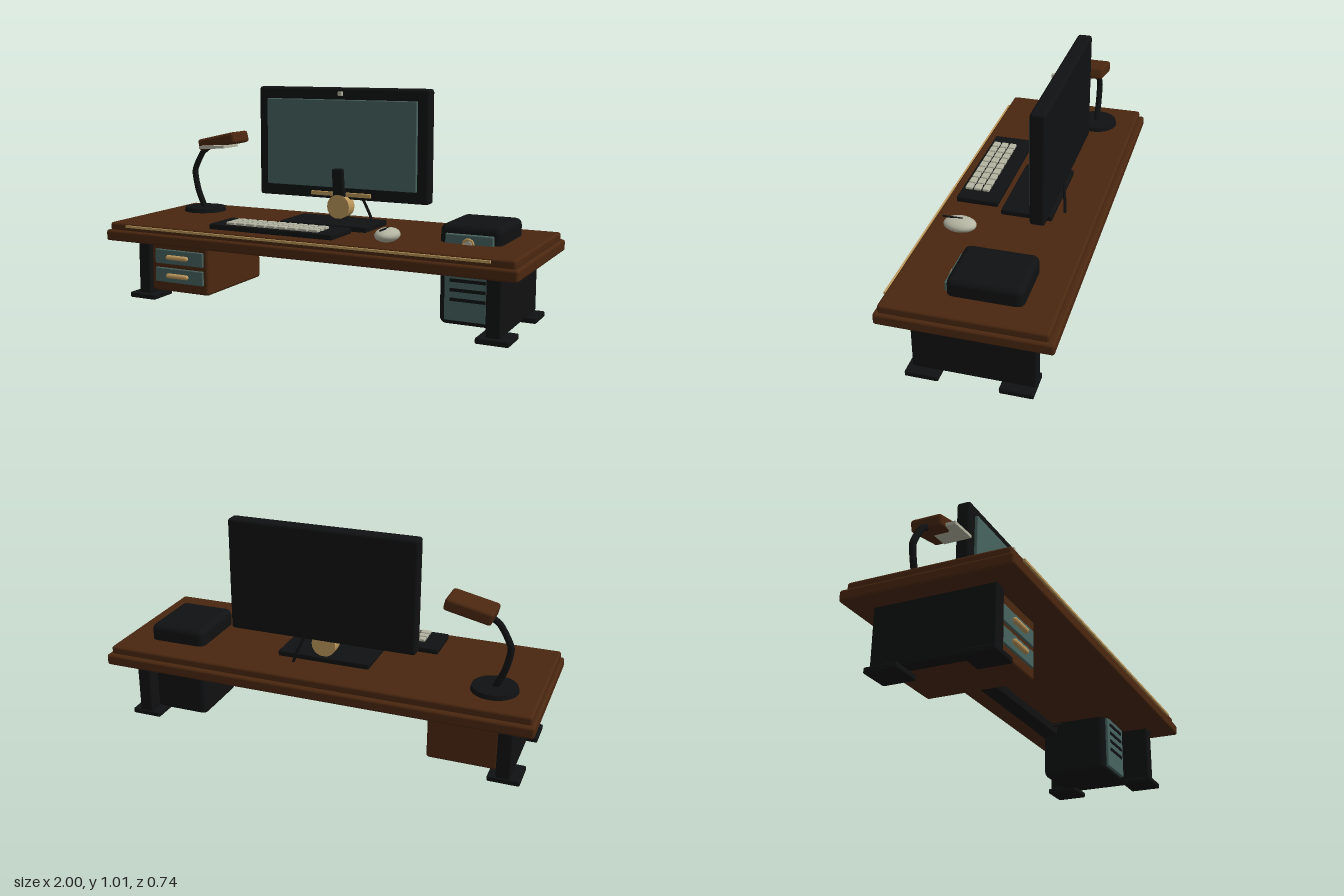
import * as THREE from 'three';
import { RoundedBoxGeometry } from 'three/addons/geometries/RoundedBoxGeometry.js';

export function createModel() {
  const root = new THREE.Group();
  root.name = 'deskWorkstation';

  const mat = (name, color) => {
    const m = new THREE.MeshStandardMaterial({ color });
    m.name = name;
    return m;
  };
  const wood = mat('walnut', 0x4a2710);
  const black = mat('black', 0x101112);
  const teal = mat('teal', 0x48645f);
  const gold = mat('brass', 0xbd985c);
  const pale = mat('paleGrey', 0xb4b4a2);

  const add = (name, geometry, material, x = 0, y = 0, z = 0, parent = root) => {
    const m = new THREE.Mesh(geometry, material);
    m.name = name;
    m.position.set(x, y, z);
    parent.add(m);
    return m;
  };
  // Rounded box given by its min and max on each axis
  const block = (name, material, [x0, x1], [y0, y1], [z0, z1], r = 0.01, parent = root) => {
    const w = x1 - x0, h = y1 - y0, d = z1 - z0;
    const g = r > 0
      ? new RoundedBoxGeometry(w, h, d, 2, Math.min(r, w / 2.1, h / 2.1, d / 2.1))
      : new THREE.BoxGeometry(w, h, d);
    return add(name, g, material, (x0 + x1) / 2, (y0 + y1) / 2, (z0 + z1) / 2, parent);
  };
  const group = (name) => {
    const g = new THREE.Group();
    g.name = name;
    root.add(g);
    return g;
  };
  const tube = (name, points, radius, parent, tension = 0.5) => {
    const curve = new THREE.CatmullRomCurve3(
      points.map((p) => new THREE.Vector3(...p)), false, 'catmullrom', tension);
    return add(name, new THREE.TubeGeometry(curve, 28, radius, 8), black, 0, 0, 0, parent);
  };

  // Stepped table top with a brass inlay along the front edge
  block('tableApron', wood, [-1, 1], [0.29, 0.342], [-0.37, 0.37], 0.012);
  block('tableTop', wood, [-0.985, 0.985], [0.335, 0.377], [-0.347, 0.354], 0.012);
  block('frontInlay', gold, [-0.89, 0.885], [0.358, 0.368], [0.346, 0.364], 0);

  // Side panels and feet
  for (const s of [-1, 1]) {
    const a = s * 0.835, b = s * 0.9;
    block('sidePanel', black, [Math.min(a, b), Math.max(a, b)], [0.025, 0.3], [-0.274, 0.255], 0.008);
    for (const z of [-0.2, 0.203]) {
      block('foot', black, [s * 0.87 - 0.072, s * 0.87 + 0.072], [0, 0.026], [z - 0.073, z + 0.073], 0.007);
    }
  }
  block('crossbar', black, [-0.85, 0.85], [0.225, 0.272], [-0.21, -0.13], 0.008);

  // Drawer cabinet
  const cabinet = group('drawerCabinet');
  block('cabinetBody', wood, [-0.838, -0.518], [0.04, 0.3], [-0.24, 0.235], 0.014, cabinet);
  for (const y of [0.21, 0.121]) {
    block('drawerFront', teal, [-0.812, -0.542], [y - 0.035, y + 0.035], [0.225, 0.244], 0.005, cabinet);
    const handle = add('drawerHandle', new THREE.CapsuleGeometry(0.012, 0.1, 4, 10), gold, -0.682, y, 0.25, cabinet);
    handle.rotation.z = Math.PI / 2;
  }

  // Computer tower passing through the table
  const tower = group('computerTower');
  block('towerCase', black, [0.579, 0.852], [0.018, 0.455], [-0.207, 0.115], 0.03, tower);
  block('towerFront', teal, [0.61, 0.822], [0.043, 0.418], [0.1, 0.129], 0.006, tower);
  for (let i = 0; i < 4; i++) {
    const y = 0.261 - i * 0.0415;
    block('ventSlot', black, [0.636, 0.794], [y - 0.007, y + 0.007], [0.126, 0.133], 0, tower);
  }
  add('powerRing', new THREE.TorusGeometry(0.022, 0.006, 8, 24), gold, 0.715, 0.377, 0.133, tower);
  const button = add('powerButton', new THREE.CylinderGeometry(0.016, 0.016, 0.014, 20), pale, 0.715, 0.377, 0.132, tower);
  button.rotation.x = Math.PI / 2;

  // Monitor and its stand
  const monitor = group('monitor');
  block('monitorCase', black, [-0.439, 0.437], [0.489, 1.01], [-0.184, -0.116], 0.014, monitor);
  block('screen', teal, [-0.387, 0.383], [0.545, 0.955], [-0.13, -0.101], 0.004, monitor);
  block('chinTrim', gold, [-0.155, 0.155], [0.503, 0.523], [-0.125, -0.108], 0.003, monitor);
  block('webcam', pale, [-0.01, 0.01], [0.972, 0.993], [-0.12, -0.099], 0.003, monitor);
  const neck = block('standNeck', black, [-0.029, 0.029], [0.385, 0.635], [-0.145, -0.086], 0.008, monitor);
  neck.rotation.z = 0.06;
  const hinge = add('standHinge', new THREE.CylinderGeometry(0.057, 0.057, 0.061, 20), gold, 0, 0.457, -0.115, monitor);
  hinge.rotation.x = Math.PI / 2;
  block('standBase', black, [-0.22, 0.216], [0.375, 0.402], [-0.16, 0.075], 0.006, monitor);
  tube('monitorCable', [[0.05, 0.56, -0.17], [0.115, 0.41, -0.195], [0.16, 0.275, -0.2],
    [0.31, 0.228, -0.19], [0.47, 0.24, -0.15], [0.6, 0.29, -0.1]], 0.007, monitor);

  // Keyboard with three rows of keys
  const keyboard = group('keyboard');
  block('keyboardBody', black, [-0.462, 0.163], [0.375, 0.402], [0.107, 0.303], 0.006, keyboard);
  const keyGeometry = new RoundedBoxGeometry(0.045, 0.018, 0.033, 1, 0.004);
  for (let row = 0; row < 3; row++) {
    for (let col = 0; col < 9; col++) {
      add('key', keyGeometry, pale, -0.358 + col * 0.0525, 0.405, 0.188 + row * 0.041, keyboard);
    }
  }

  // Mouse
  const mouse = group('mouse');
  const shell = add('mouseShell', new THREE.SphereGeometry(1, 24, 16), pale, 0.382, 0.406, 0.211, mouse);
  shell.scale.set(0.052, 0.031, 0.075);
  block('mouseSeam', black, [0.379, 0.387], [0.433, 0.438], [0.198, 0.29], 0, mouse);

  // Desk lamp
  const lamp = group('deskLamp');
  add('lampBase', new THREE.CylinderGeometry(0.1, 0.105, 0.022, 28), black, -0.785, 0.386, -0.15, lamp);
  tube('lampArm', [[-0.785, 0.385, -0.15], [-0.825, 0.48, -0.15], [-0.842, 0.58, -0.15],
    [-0.79, 0.675, -0.145], [-0.715, 0.725, -0.142]], 0.015, lamp, 0.3);
  const head = add('lampHead', new RoundedBoxGeometry(0.212, 0.057, 0.146, 2, 0.014), wood, -0.665, 0.737, -0.142, lamp);
  head.rotation.z = 0.22;
  const light = add('lampPanel', new THREE.BoxGeometry(0.142, 0.014, 0.13), pale, -0.66, 0.713, -0.088, lamp);
  light.rotation.z = 0.06;

  return root;
}
